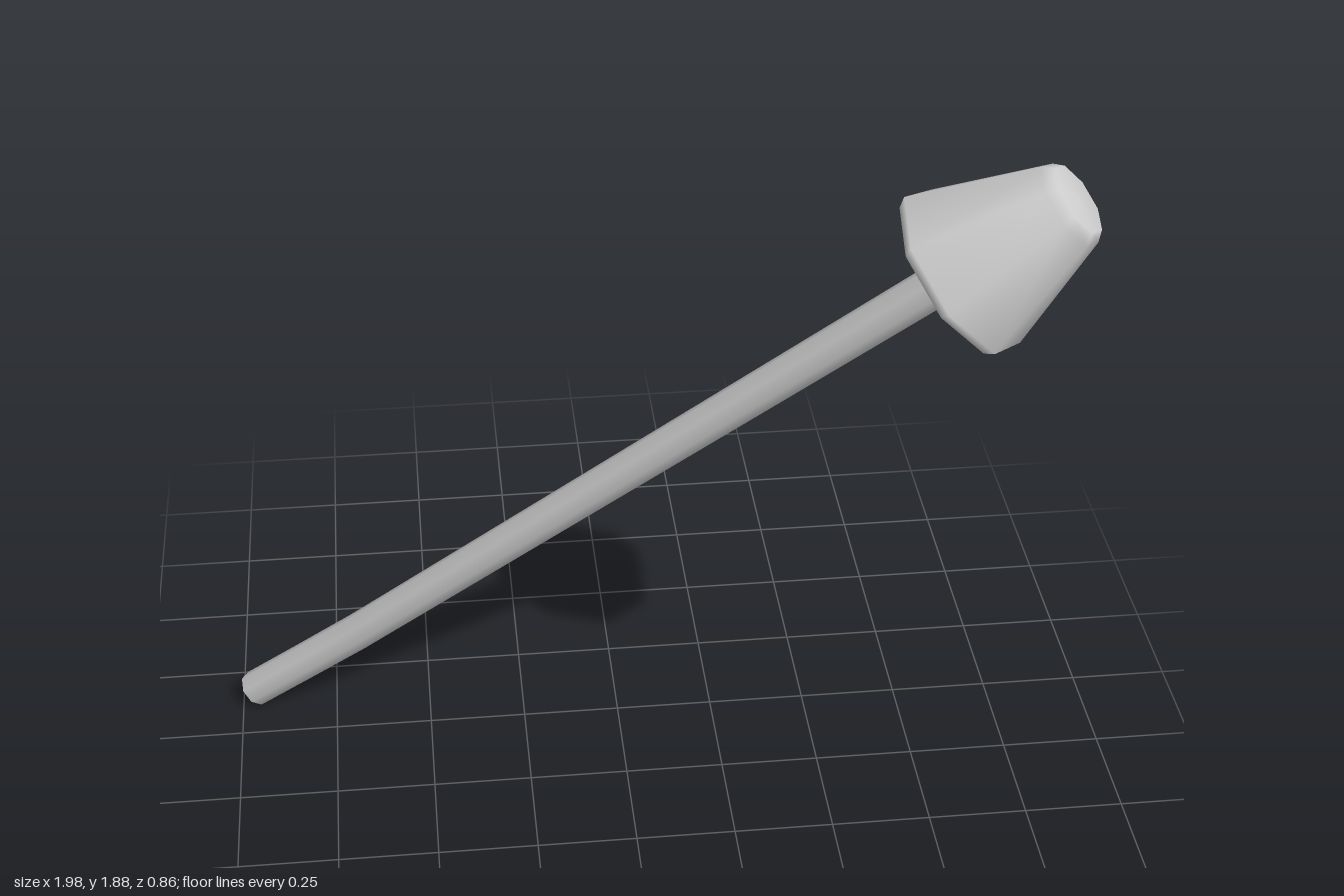
import * as THREE from 'three';

export function createModel() {
  const model = new THREE.Group();
  const material = new THREE.MeshStandardMaterial({ color: 0xcccccc, side: THREE.DoubleSide });
  const v = (x, y, z) => new THREE.Vector3(x, y, z);

  // Long open stem, slightly bent near its foot
  const path = new THREE.CurvePath();
  const foot = v(-0.968, 0.035, -0.388);
  const bend = v(-0.7, 0.27, -0.295);
  const neck = v(0.72, 1.62, 0.228);
  path.add(new THREE.LineCurve3(foot, bend));
  path.add(new THREE.LineCurve3(bend, neck));
  const stem = new THREE.Mesh(new THREE.TubeGeometry(path, 12, 0.048, 8, false), material);
  stem.name = 'stem';
  model.add(stem);

  // Eight-sided tapered cap with a bevelled rim and a soft flat top
  const profile = [
    [0, -0.02], [0.17, -0.02], [0.196, -0.02], [0.211, 0.004],
    [0.105, 0.285], [0.085, 0.308], [0, 0.312],
  ].map(([r, y]) => new THREE.Vector2(r, y));
  const cap = new THREE.Mesh(new THREE.LatheGeometry(profile, 8), material);
  cap.name = 'cap';

  // Tilt the cap along the stem, with one corner pointing down and outward
  const axis = v(0.71, 0.66, 0.22).normalize();
  const corner = v(0.64, -0.71, 0.28).projectOnPlane(axis).normalize();
  const side = corner.clone().cross(axis);
  cap.quaternion.setFromRotationMatrix(new THREE.Matrix4().makeBasis(corner, axis, side));
  cap.position.set(0.705, 1.607, 0.228);
  model.add(cap);

  return model;
}
